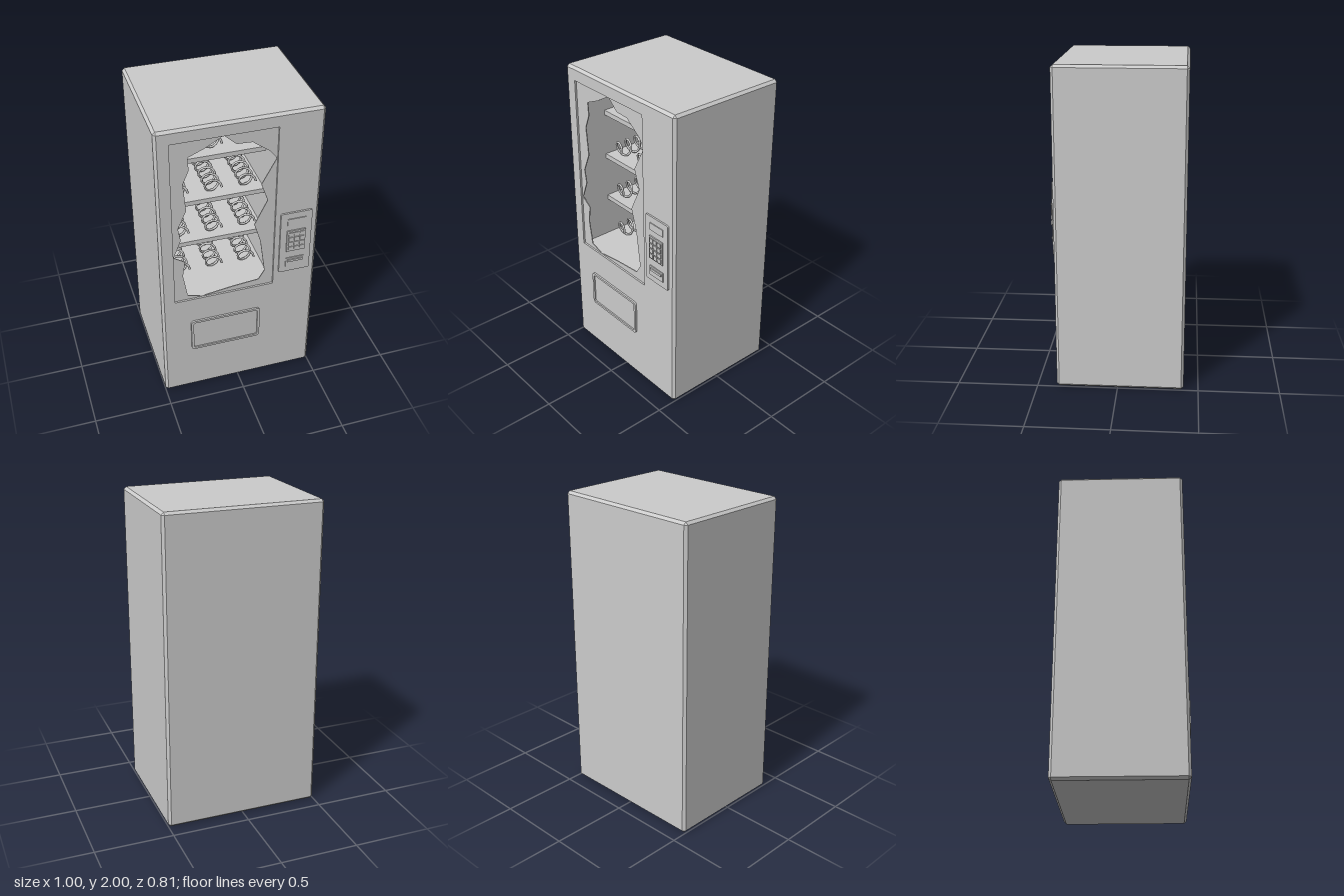
import * as THREE from 'three';
import { ConvexGeometry } from 'three/addons/geometries/ConvexGeometry.js';

const W = 0.5, H = 2, BACK = -0.41, FRONT = 0.38, BEVEL = 0.016;
const WIN = { x0: -0.415, x1: 0.222, y0: 0.763, y1: 1.914 };
const CAVITY_BACK = -0.36, SHELF_FRONT = 0.17;

const grey = new THREE.MeshStandardMaterial({ color: 0xcccccc, flatShading: true });
const greyDouble = new THREE.MeshStandardMaterial({ color: 0xcccccc, flatShading: true, side: THREE.DoubleSide });
const greySmooth = new THREE.MeshStandardMaterial({ color: 0xcccccc });

function add(parent, name, geometry, material = grey) {
  const mesh = new THREE.Mesh(geometry, material);
  mesh.name = name;
  parent.add(mesh);
  return mesh;
}

// Box given by its min and max corners
function block(parent, name, x0, x1, y0, y1, z0, z1) {
  const mesh = add(parent, name, new THREE.BoxGeometry(x1 - x0, y1 - y0, z1 - z0));
  mesh.position.set((x0 + x1) / 2, (y0 + y1) / 2, (z0 + z1) / 2);
  return mesh;
}

function rectPath(path, x0, x1, y0, y1, r = 0) {
  if (!r) {
    path.moveTo(x0, y0).lineTo(x1, y0).lineTo(x1, y1).lineTo(x0, y1).lineTo(x0, y0);
    return path;
  }
  path.moveTo(x0 + r, y0).lineTo(x1 - r, y0);
  path.absarc(x1 - r, y0 + r, r, -Math.PI / 2, 0);
  path.absarc(x1 - r, y1 - r, r, 0, Math.PI / 2);
  path.absarc(x0 + r, y1 - r, r, Math.PI / 2, Math.PI);
  path.absarc(x0 + r, y0 + r, r, Math.PI, Math.PI * 1.5);
  return path;
}

function plate(parent, name, shape, z0, z1) {
  const geometry = new THREE.ExtrudeGeometry(shape, { depth: z1 - z0, bevelEnabled: false, curveSegments: 4 });
  return add(parent, name, geometry.translate(0, 0, z0));
}

// Chamfered cabinet shell, with its front face left off
function shellGeometry() {
  const points = [];
  const half = [W, H / 2, (FRONT - BACK) / 2];
  for (const sx of [-1, 1]) for (const sy of [-1, 1]) for (const sz of [-1, 1]) {
    for (let axis = 0; axis < 3; axis++) {
      const p = [sx, sy, sz].map((s, i) => s * (half[i] - (i === axis ? 0 : BEVEL)));
      points.push(new THREE.Vector3(p[0], p[1] + H / 2, p[2] + (FRONT + BACK) / 2));
    }
  }
  const hull = new ConvexGeometry(points);
  const pos = hull.attributes.position;
  const kept = [];
  for (let i = 0; i < pos.count; i += 3) {
    if ([0, 1, 2].every(k => pos.getZ(i + k) > FRONT - 0.001)) continue;
    for (let k = 0; k < 3; k++) kept.push(pos.getX(i + k), pos.getY(i + k), pos.getZ(i + k));
  }
  const geometry = new THREE.BufferGeometry();
  geometry.setAttribute('position', new THREE.Float32BufferAttribute(kept, 3));
  geometry.computeVertexNormals();
  return geometry;
}

function buildCabinet(root) {
  const cabinet = new THREE.Group();
  cabinet.name = 'cabinet';
  root.add(cabinet);
  add(cabinet, 'shell', shellGeometry());

  const face = rectPath(new THREE.Shape(), -W + BEVEL, W - BEVEL, BEVEL, H - BEVEL);
  face.holes.push(rectPath(new THREE.Path(), WIN.x0, WIN.x1, WIN.y0, WIN.y1));
  add(cabinet, 'frontFace', new THREE.ShapeGeometry(face).translate(0, 0, FRONT));

  // Inner compartment: an open-fronted box seen from inside
  const inner = new THREE.BoxGeometry(WIN.x1 - WIN.x0, WIN.y1 - WIN.y0, FRONT - CAVITY_BACK);
  const index = Array.from(inner.index.array);
  index.splice(24, 6);
  inner.setIndex(index);
  inner.translate((WIN.x0 + WIN.x1) / 2, (WIN.y0 + WIN.y1) / 2, (FRONT + CAVITY_BACK) / 2);
  add(cabinet, 'compartment', inner, greyDouble);
}

// Window pane with a jagged hole
function buildGlass(root) {
  const crack = [
    [-0.10, 1.911], [-0.025, 1.842], [0.07, 1.837], [0.177, 1.757], [0.219, 1.70], [0.13, 1.535],
    [0.172, 1.413], [0.093, 1.25], [0.135, 1.112], [0.167, 0.873], [0.13, 0.81], [-0.04, 0.794],
    [-0.24, 0.766], [-0.33, 0.794], [-0.357, 0.958], [-0.341, 1.064], [-0.411, 1.112], [-0.363, 1.233],
    [-0.378, 1.323], [-0.325, 1.445], [-0.341, 1.63], [-0.304, 1.72], [-0.309, 1.805], [-0.209, 1.848],
  ];
  const pane = rectPath(new THREE.Shape(), WIN.x0, WIN.x1, WIN.y0, WIN.y1);
  pane.holes.push(new THREE.Path(crack.map(([x, y]) => new THREE.Vector2(x, y))));
  plate(root, 'brokenGlass', pane, 0.362, 0.368);
}

// Helical wire running from front to back along -z
class Helix extends THREE.Curve {
  constructor(radius, turns, length) {
    super();
    Object.assign(this, { radius, turns, length });
  }
  getPoint(t, target = new THREE.Vector3()) {
    const a = t * this.turns * Math.PI * 2;
    return target.set(Math.cos(a) * this.radius, Math.sin(a) * this.radius, -t * this.length);
  }
}

function buildInterior(root) {
  const shelves = new THREE.Group();
  shelves.name = 'shelves';
  root.add(shelves);
  for (const top of [1.66, 1.355, 1.051]) {
    block(shelves, 'shelf', WIN.x0, WIN.x1, top - 0.031, top, CAVITY_BACK, SHELF_FRONT);
  }

  const coils = new THREE.Group();
  coils.name = 'coils';
  root.add(coils);
  const wire = new THREE.TubeGeometry(new Helix(0.048, 7, 0.5), 98, 0.0075, 6);
  for (const y of [1.725, 1.415, 1.11, 0.82]) {
    for (const x of [-0.308, -0.095, 0.12]) {
      add(coils, 'coil', wire, greySmooth).position.set(x, y, SHELF_FRONT - 0.01);
    }
  }
}

function buildControls(root) {
  const panel = new THREE.Group();
  panel.name = 'controlPanel';
  root.add(panel);
  plate(panel, 'panelPlate', rectPath(new THREE.Shape(), 0.254, 0.455, 0.852, 1.302, 0.01), FRONT - 0.005, 0.391);
  block(panel, 'display', 0.297, 0.415, 1.212, 1.26, 0.39, 0.396);

  // Keypad: backing plate and a 3 by 4 block of keys
  block(panel, 'keypadBase', 0.295, 0.415, 1.015, 1.172, 0.39, 0.399);
  for (let row = 0; row < 4; row++) {
    for (let col = 0; col < 3; col++) {
      const x = 0.305 + col * 0.036, y = 1.025 + row * 0.036;
      block(panel, 'key', x, x + 0.028, y, y + 0.028, 0.398, 0.405);
    }
  }

  // Coin slot with a lip
  block(panel, 'slotPlate', 0.295, 0.415, 0.895, 0.96, 0.39, 0.397);
  block(panel, 'slotLip', 0.305, 0.405, 0.932, 0.948, 0.396, 0.404);
}

function buildTray(root) {
  const tray = new THREE.Group();
  tray.name = 'deliveryTray';
  root.add(tray);
  const frame = rectPath(new THREE.Shape(), -0.318, 0.138, 0.341, 0.582, 0.02);
  frame.holes.push(rectPath(new THREE.Path(), -0.302, 0.122, 0.356, 0.567, 0.013));
  plate(tray, 'trayFrame', frame, FRONT - 0.005, 0.392);
  plate(tray, 'trayFlap', rectPath(new THREE.Shape(), -0.304, 0.124, 0.354, 0.569, 0.013), FRONT - 0.005, 0.383);
}

export function createModel() {
  const root = new THREE.Group();
  root.name = 'vendingMachine';
  buildCabinet(root);
  buildGlass(root);
  buildInterior(root);
  buildControls(root);
  buildTray(root);
  return root;
}
